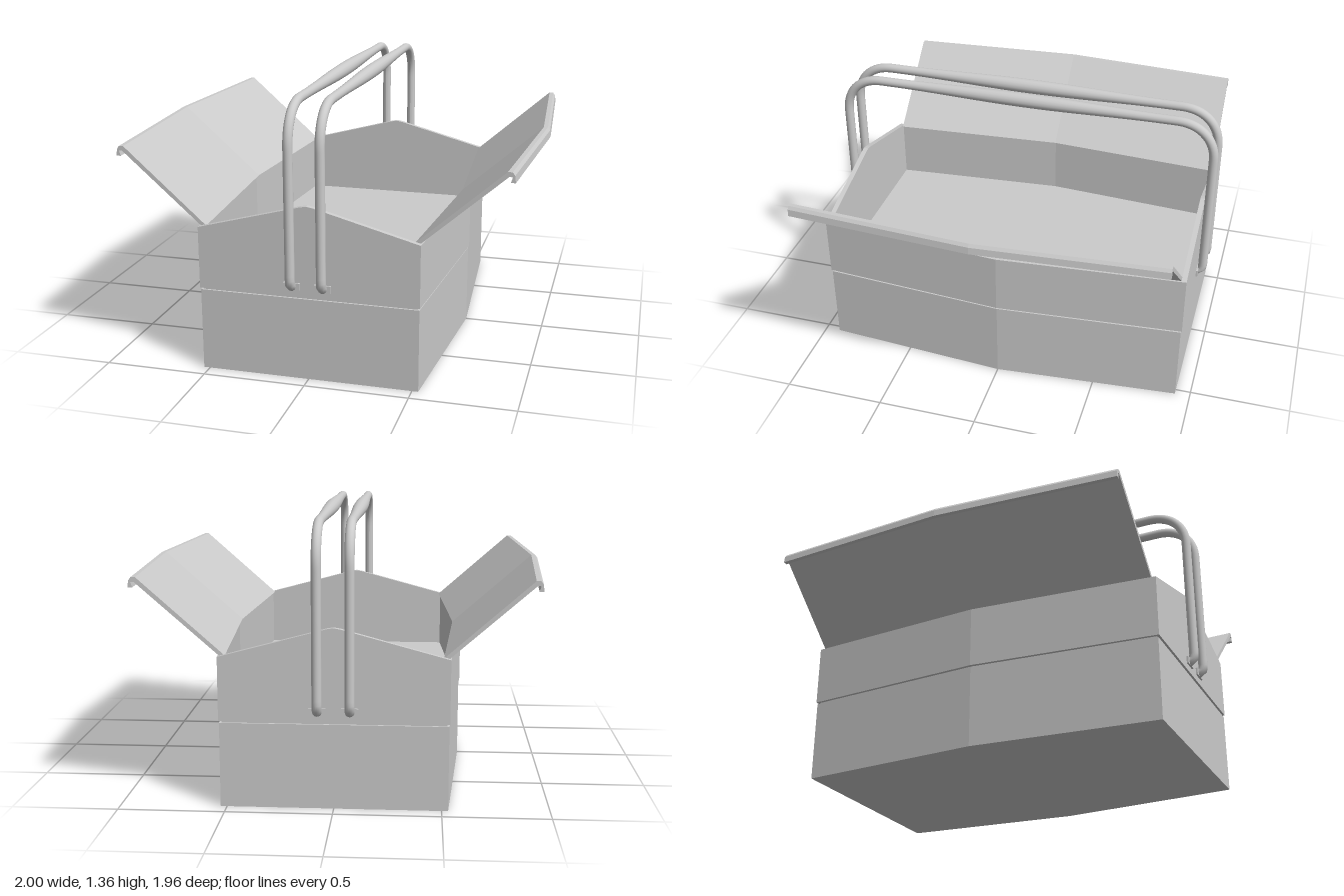
import * as THREE from 'three';

const metal = new THREE.MeshStandardMaterial({ color: 0xcccccc, flatShading: true });
const smoothMetal = new THREE.MeshStandardMaterial({ color: 0xcccccc });

function add(group, name, geometry, material = metal) {
  const mesh = new THREE.Mesh(geometry, material);
  mesh.name = name;
  group.add(mesh);
  return mesh;
}

// Bowed footprint: narrow at both ends, widest halfway along
function footprint(endX, midX, endZ) {
  return [[endX, -endZ], [midX, 0], [endX, endZ], [-endX, endZ], [-midX, 0], [-endX, -endZ]]
    .map(([x, z]) => new THREE.Vector2(x, z));
}

function slab(outline, y0, y1, hole) {
  const shape = new THREE.Shape(outline);
  if (hole) shape.holes.push(new THREE.Path(hole));
  return new THREE.ExtrudeGeometry(shape, { depth: y1 - y0, bevelEnabled: false })
    .rotateX(-Math.PI / 2).translate(0, y0, 0);
}

// Lid: a hooked sheet profile drawn along z, bowed outwards in the middle
function lidGeometry() {
  const half = 0.905;
  const profile = [
    [0.5, 0.717], [0.528, 0.717], [0.912, 1.054], [0.926, 1.052],
    [0.918, 1.027], [0.94, 1.027], [0.936, 1.06], [0.925, 1.075], [0.904, 1.075],
  ].map(([x, y]) => new THREE.Vector2(x, y));
  const geo = new THREE.ExtrudeGeometry(new THREE.Shape(profile), {
    depth: 2 * half, steps: 2, bevelEnabled: false,
  }).translate(0, 0, -half);
  const p = geo.attributes.position;
  for (let i = 0; i < p.count; i++) {
    p.setX(i, p.getX(i) + 0.06 * (1 - Math.abs(p.getZ(i)) / half));
  }
  geo.computeVertexNormals();
  return geo;
}

// Handle: bent tube, thickened into a grip at the middle
function handleGeometry() {
  const v = (z, y) => new THREE.Vector3(0, y, z);
  const path = new THREE.CurvePath();
  const line = (a, b) => path.add(new THREE.LineCurve3(a, b));
  const bend = (a, b, c, d) => path.add(new THREE.CubicBezierCurve3(a, b, c, d));
  line(v(0.915, 0.467), v(0.932, 0.467));
  bend(v(0.932, 0.467), v(0.948, 0.467), v(0.957, 0.478), v(0.957, 0.5));
  line(v(0.957, 0.5), v(0.957, 1.13));
  bend(v(0.957, 1.13), v(0.957, 1.245), v(0.88, 1.323), v(0.765, 1.323));
  line(v(0.765, 1.323), v(-0.765, 1.323));
  bend(v(-0.765, 1.323), v(-0.88, 1.323), v(-0.957, 1.245), v(-0.957, 1.13));
  line(v(-0.957, 1.13), v(-0.957, 0.5));
  bend(v(-0.957, 0.5), v(-0.957, 0.478), v(-0.948, 0.467), v(-0.932, 0.467));
  line(v(-0.932, 0.467), v(-0.915, 0.467));

  const steps = 160, sides = 16, radius = 0.023;
  const geo = new THREE.TubeGeometry(path, steps, radius, sides, false);
  const p = geo.attributes.position, q = new THREE.Vector3();
  for (let i = 0; i <= steps; i++) {
    const centre = path.getPointAt(i / steps);
    const grip = centre.y > 1.3 ? 1 - THREE.MathUtils.smoothstep(Math.abs(centre.z), 0.02, 0.7) : 0;
    for (let j = 0; j <= sides; j++) {
      const k = i * (sides + 1) + j;
      q.fromBufferAttribute(p, k).sub(centre).multiplyScalar(1 + 0.56 * grip).add(centre);
      p.setXYZ(k, q.x, q.y, q.z);
    }
  }
  geo.computeVertexNormals();
  return geo;
}

export function createModel() {
  const model = new THREE.Group();
  model.name = 'toolbox';

  // Lower box, recessed tray floor and upper tray walls
  add(model, 'lowerBox', slab(footprint(0.53, 0.598, 0.925), 0, 0.403));
  add(model, 'trayFloor', slab(footprint(0.52, 0.587, 0.915), 0.39, 0.414));
  add(model, 'trayWalls', slab(footprint(0.533, 0.603, 0.93), 0.413, 0.715,
    footprint(0.51, 0.575, 0.905)));

  // Gabled tops of the end walls
  const gable = new THREE.Shape([[-0.533, 0.715], [0.533, 0.715], [0.03, 0.85], [0, 0.855], [-0.03, 0.85]]
    .map(([x, y]) => new THREE.Vector2(x, y)));
  for (const z of [0.905, -0.93]) {
    add(model, z > 0 ? 'frontGable' : 'backGable',
      new THREE.ExtrudeGeometry(gable, { depth: 0.025, bevelEnabled: false }).translate(0, 0, z));
  }

  // Opened lids
  const lid = lidGeometry();
  add(model, 'leftLid', lid);
  add(model, 'rightLid', lid).rotation.y = Math.PI;

  // Twin handles with their mounting plates
  const handle = handleGeometry();
  const plate = new THREE.BoxGeometry(0.08, 0.036, 0.012);
  for (const side of [1, -1]) {
    const group = new THREE.Group();
    group.name = side > 0 ? 'leftHandle' : 'rightHandle';
    group.position.x = side * 0.075;
    add(group, 'handleBar', handle, smoothMetal);
    for (const z of [0.933, -0.933]) add(group, 'handleMount', plate).position.set(0, 0.465, z);
    model.add(group);
  }
  return model;
}
